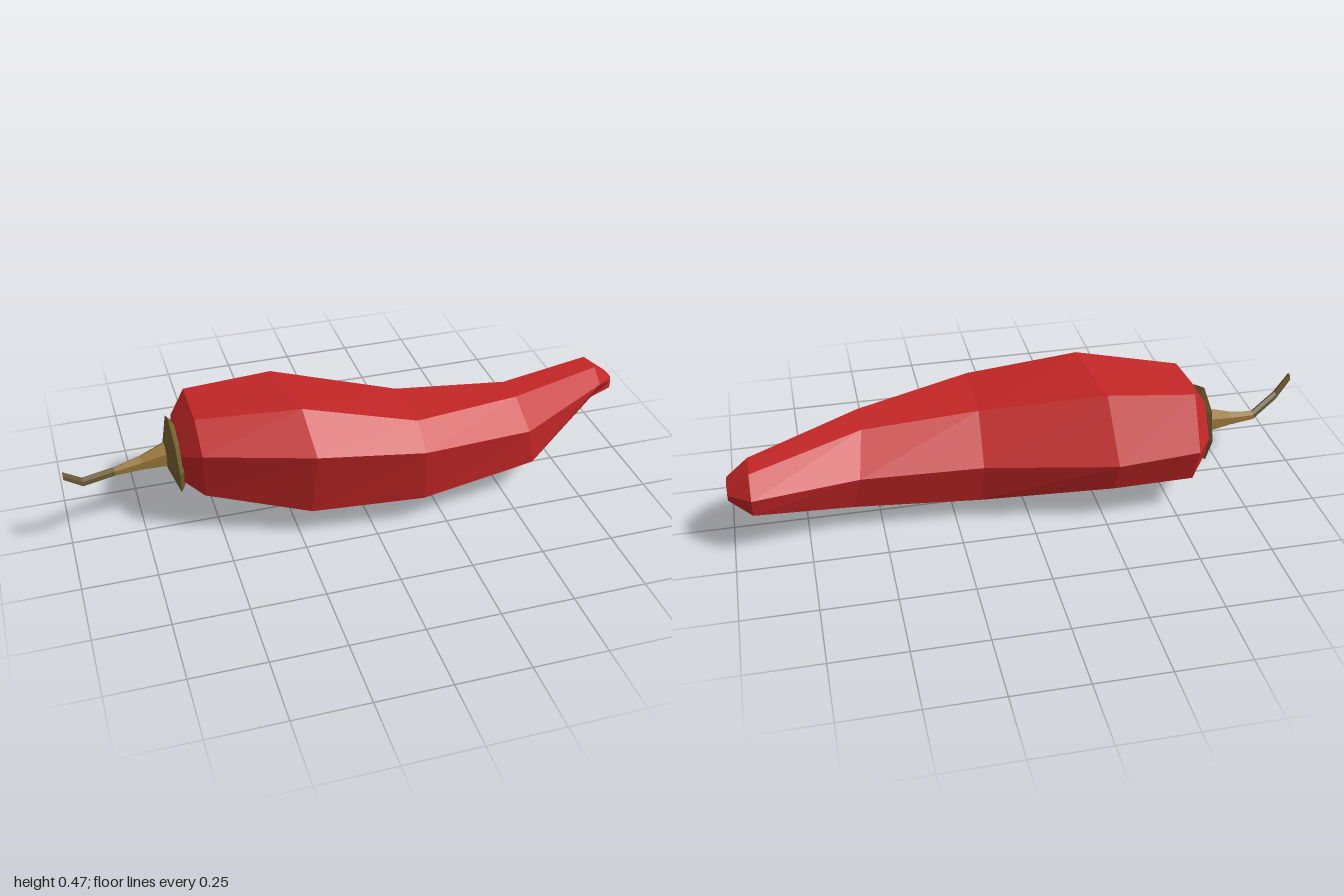
import * as THREE from 'three';

const red = new THREE.MeshStandardMaterial({ color: 0xc42626 });
red.name = 'pepper red';
const olive = new THREE.MeshStandardMaterial({ color: 0x745f30 });
olive.name = 'calyx olive';
const tan = new THREE.MeshStandardMaterial({ color: 0x96743a });
tan.name = 'stem tan';
const darkOlive = new THREE.MeshStandardMaterial({ color: 0x665632 });
darkOlive.name = 'dry stem olive';

// Faceted skin through equal-sized rings that advance along +x, closed at both ends
function loft(name, rings, material) {
  const pos = [];
  const tri = (a, b, c) => pos.push(...a, ...b, ...c);
  const n = rings[0].length;
  for (let i = 0; i < rings.length - 1; i++) {
    for (let j = 0; j < n; j++) {
      const k = (j + 1) % n;
      const a = rings[i][j], b = rings[i][k], c = rings[i + 1][k], d = rings[i + 1][j];
      tri(a, d, c);
      tri(a, c, b);
    }
  }
  const first = rings[0], last = rings[rings.length - 1];
  for (let j = 1; j < n - 1; j++) {
    tri(first[0], first[j], first[j + 1]);
    tri(last[0], last[j + 1], last[j]);
  }
  const geometry = new THREE.BufferGeometry();
  geometry.setAttribute('position', new THREE.Float32BufferAttribute(pos, 3));
  geometry.computeVertexNormals();
  const mesh = new THREE.Mesh(geometry, material);
  mesh.name = name;
  return mesh;
}

// Regular ring around (x, y, z), with an optional lean along x
function ring(x, y, z, r, n, lean = 0) {
  return Array.from({ length: n }, (_, j) => {
    const t = (j / n) * Math.PI * 2;
    const up = r * Math.cos(t);
    return [x + lean * up, y + up, z - r * Math.sin(t)];
  });
}

// Seven-sided body section: [z, y] corners from top front, over the back, to the front
function section(x, leanY, leanZ, corners) {
  return corners.map(([z, y]) => [x + leanY * (y - 0.24) + leanZ * z, y, z]);
}

export function createModel() {
  const group = new THREE.Group();
  group.name = 'chili pepper';

  // Curved fruit, from the shoulder to the blunt tip
  const shoulder = [[0.04, 0.44], [-0.17, 0.435], [-0.275, 0.27], [-0.23, 0.14],
    [-0.095, 0.07], [0.09, 0.17], [0.135, 0.355]];
  const neck = shoulder.map(([z, y]) => [-0.065 + (z + 0.07) * 0.62, 0.26 + (y - 0.26) * 0.62]);
  group.add(loft('fruit', [
    section(-0.615, 0, 0, neck),
    section(-0.555, -0.03, 0, shoulder),
    section(-0.24, 0, 0.13, [[0.13, 0.475], [-0.157, 0.46], [-0.28, 0.255], [-0.238, 0.142],
      [-0.055, 0.063], [0.2, 0.11], [0.255, 0.36]]),
    section(0.16, -0.05, 0, [[0.195, 0.4], [-0.04, 0.385], [-0.17, 0.24], [-0.13, 0.085],
      [0.042, 0.003], [0.243, 0.115], [0.28, 0.325]]),
    section(0.57, -0.2, 0, [[0.095, 0.363], [-0.025, 0.352], [-0.145, 0.235], [-0.11, 0.105],
      [-0.015, 0.04], [0.17, 0.13], [0.19, 0.275]]),
    section(0.925, 0, 0, [[-0.07, 0.322], [-0.16, 0.315], [-0.213, 0.245], [-0.198, 0.18],
      [-0.128, 0.144], [-0.07, 0.195], [-0.015, 0.28]]),
    section(1, 0, 0, [[-0.082, 0.264], [-0.13, 0.263], [-0.149, 0.235], [-0.146, 0.215],
      [-0.114, 0.203], [-0.078, 0.218], [-0.078, 0.245]]),
  ], red));

  // Leafy collar where the stem meets the fruit
  group.add(loft('calyx', [
    ring(-0.655, 0.26, -0.06, 0.045, 8),
    ring(-0.627, 0.255, -0.06, 0.135, 8, -0.05),
    ring(-0.607, 0.255, -0.06, 0.11, 8, -0.03),
  ], olive));

  // Tapered stem base and its thin bent end
  group.add(loft('stemBase', [
    ring(-0.83, 0.24, -0.035, 0.016, 6),
    ring(-0.74, 0.248, -0.048, 0.026, 6),
    ring(-0.65, 0.26, -0.06, 0.046, 6),
  ], tan));
  group.add(loft('stemEnd', [
    ring(-1, 0.322, 0.062, 0.014, 6),
    ring(-0.94, 0.268, 0.035, 0.016, 6),
    ring(-0.83, 0.24, -0.035, 0.016, 6),
  ], darkOlive));

  return group;
}
